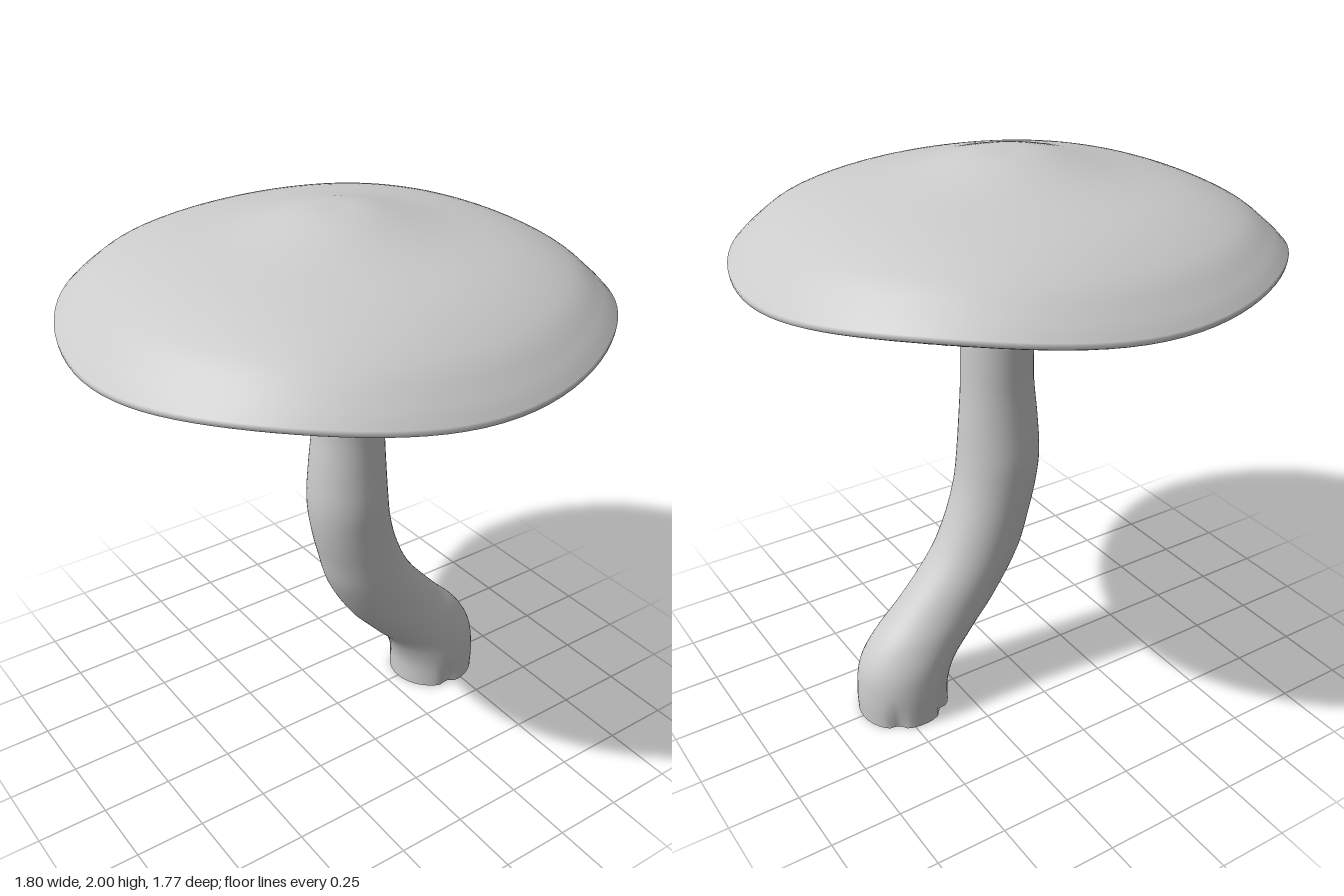
import * as THREE from 'three';

const GILLS = 96;

// Closed-around surface: point(row, angle, col) returns [x, y, z]
function loft(rows, cols, point) {
  const pos = [], idx = [];
  for (let j = 0; j < rows; j++) {
    for (let i = 0; i < cols; i++) pos.push(...point(j, (i / cols) * Math.PI * 2, i));
  }
  for (let j = 0; j < rows - 1; j++) {
    for (let i = 0; i < cols; i++) {
      const n = (i + 1) % cols;
      const a = j * cols + i, b = j * cols + n, c = a + cols, d = b + cols;
      idx.push(a, b, c, b, d, c);
    }
  }
  const g = new THREE.BufferGeometry();
  g.setAttribute('position', new THREE.Float32BufferAttribute(pos, 3));
  g.setIndex(idx);
  g.computeVertexNormals();
  return g;
}

const smooth = (points, n) =>
  new THREE.SplineCurve(points.map(([a, b]) => new THREE.Vector2(a, b))).getPoints(n);

// Gentle tilt and wavy rim shared by the cap and its gills
function warp(r, a, y) {
  const c = Math.cos(a), s = Math.sin(a), k = r / 0.9;
  const wave = -0.018 * Math.cos(4 * a) + 0.011 * c - 0.021 * s;
  const tilt = 0.018 * (c - s) * k * k * (1 - k * k);
  return [r * c, y + wave * k ** 4 + tilt, r * s * 0.98 - 0.005];
}

export function createModel() {
  const group = new THREE.Group();
  const add = (name, geometry, options = {}) => {
    const mesh = new THREE.Mesh(geometry, new THREE.MeshStandardMaterial({ color: 0xcccccc, ...options }));
    mesh.name = name;
    group.add(mesh);
  };

  // Cap: low central bump, rounded shoulder, thin lip turned under
  const capLine = [
    ...smooth([[0.001, 2], [0.12, 1.994], [0.33, 1.944], [0.58, 1.888], [0.75, 1.82], [0.85, 1.743], [0.902, 1.69]], 36),
    ...smooth([[0.9, 1.678], [0.885, 1.672], [0.865, 1.68], [0.84, 1.7]], 6),
  ];
  add('cap', loft(capLine.length, 96, (j, a) => warp(capLine[j].x, a, capLine[j].y)));

  // Gills: pleated underside running from the rim to the stem
  const gillLine = smooth([[0.875, 1.672], [0.82, 1.65], [0.72, 1.617], [0.6, 1.587], [0.45, 1.575],
    [0.3, 1.578], [0.22, 1.585], [0.18, 1.61], [0.1, 1.63]], 20);
  add('gills', loft(gillLine.length, GILLS * 4, (j, a, i) => {
    const { x: r, y } = gillLine[j];
    const depth = 0.045 * Math.min(1, (0.9 - r) / 0.06) * THREE.MathUtils.smoothstep(r, 0.14, 0.4);
    const groove = [0, 0.1, 1, 0.1][i % 4];
    const p = warp(r, a, y + depth * groove);
    p[0] += 0.045 * (1 - r / 0.9);
    return p;
  }), { flatShading: true, side: THREE.DoubleSide });

  // Stem sections from top to bottom: y, centre x, half width x, half width z
  const sections = [
    [1.7, 0.045, 0.125, 0.125], [1.58, 0.045, 0.125, 0.125], [1.4, 0.045, 0.125, 0.125],
    [1.22, 0.046, 0.127, 0.126], [1.08, 0.043, 0.138, 0.135], [0.93, 0.045, 0.147, 0.146],
    [0.82, 0.06, 0.149, 0.142], [0.7, 0.093, 0.154, 0.138], [0.57, 0.145, 0.168, 0.136],
    [0.4, 0.268, 0.19, 0.136], [0.3, 0.362, 0.195, 0.143], [0.2, 0.437, 0.18, 0.155],
    [0.1, 0.464, 0.168, 0.16], [0, 0.465, 0.166, 0.16],
  ];
  const path = [0, 2].map((k) => new THREE.CatmullRomCurve3(
    sections.map((s) => (k ? new THREE.Vector3(s[2], s[3], 0) : new THREE.Vector3(s[1], s[0], 0)))));
  // Small creases where the stem was cut
  const crease = (a, y) => {
    const fade = Math.max(0, 1 - y / 0.12);
    return 1 - 0.12 * fade * [1.75, 4.1, 5.3].reduce((sum, c) => sum + Math.exp(-(((a - c) / 0.13) ** 2)), 0);
  };
  const ring = (t, a, scale = 1) => {
    const c = path[0].getPoint(t), w = path[1].getPoint(t);
    const k = crease(a, c.y) * scale;
    return [c.x + w.x * Math.cos(a) * k, Math.max(0, c.y), w.y * Math.sin(a) * k - 0.003];
  };
  const rows = 53;
  add('stem', loft(rows, 48, (j, a) => ring(j / (rows - 1), a)));

  // Flat cut end, slightly hollow
  add('stemBase', loft(4, 48, (j, a) => {
    const p = ring(1, a, Math.max(0.001, 1 - j / 3));
    p[1] = [0, 0.005, 0.012, 0.015][j];
    return p;
  }));

  return group;
}
